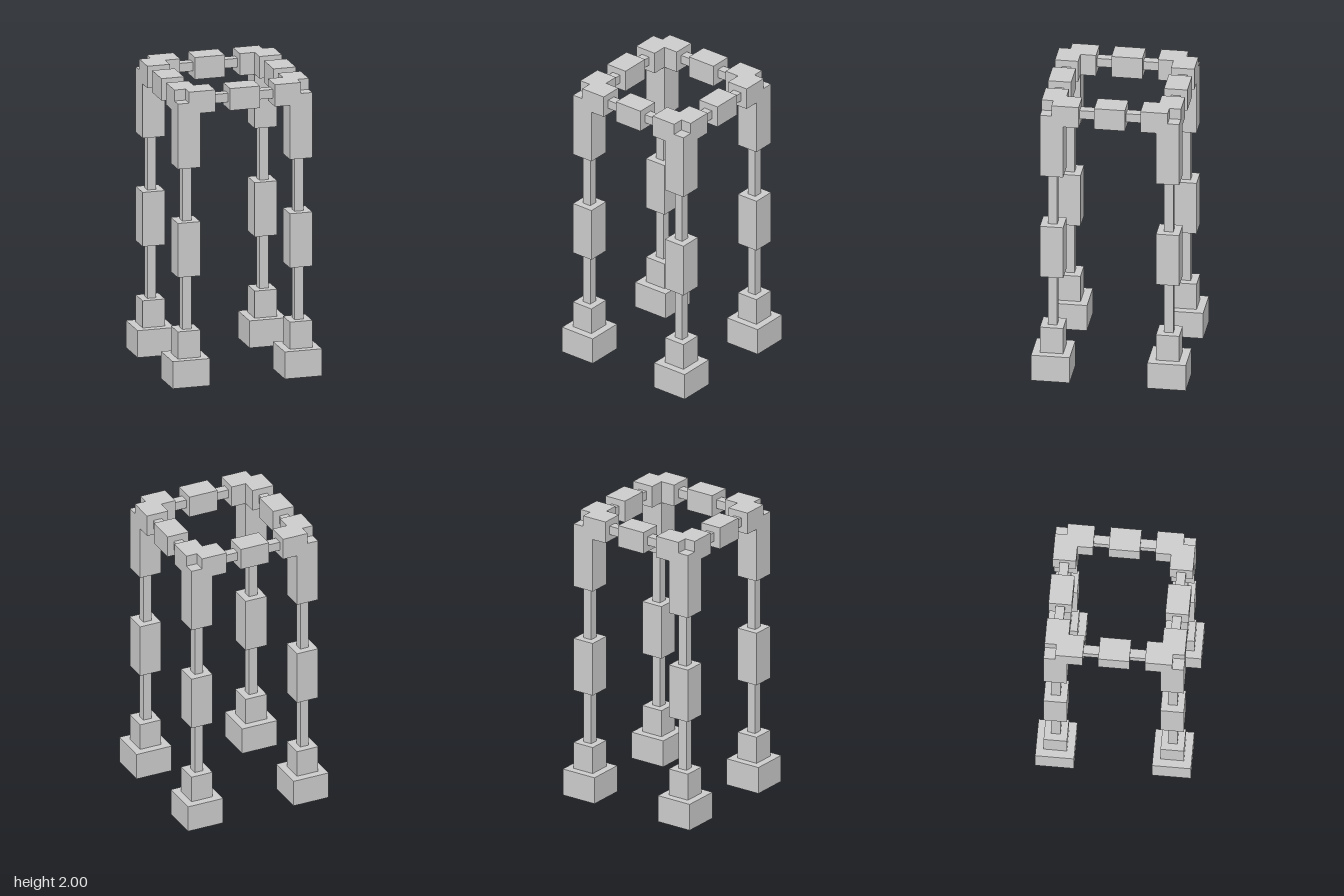
import * as THREE from 'three';

const material = new THREE.MeshStandardMaterial({ color: 0xcccccc, flatShading: true });

// Plan dimensions: leg axis, block width, rod width, foot width
const AXIS = 0.385, BLOCK = 0.154, ROD = 0.061, FOOT = 0.256;
const INNER = AXIS - BLOCK / 2, OUTER = AXIS + BLOCK / 2, ARM_END = 0.205;

function add(group, name, geometry) {
  const mesh = new THREE.Mesh(geometry, material);
  mesh.name = name;
  group.add(mesh);
  return mesh;
}

// Square upright piece on the leg axis, from y0 to y1
function upright(group, name, width, y0, y1) {
  add(group, name, new THREE.BoxGeometry(width, y1 - y0, width))
    .position.set(AXIS, (y0 + y1) / 2, -AXIS);
}

// Flat layer cut to a plan outline, from y0 to y1
function layer(group, name, outline, y0, y1) {
  const shape = new THREE.Shape(outline.map(([x, y]) => new THREE.Vector2(x, y)));
  const geometry = new THREE.ExtrudeGeometry(shape, { depth: y1 - y0, bevelEnabled: false });
  geometry.rotateX(-Math.PI / 2);
  add(group, name, geometry).position.y = y0;
}

function createLeg() {
  const leg = new THREE.Group();
  leg.name = 'leg';
  upright(leg, 'foot', FOOT, 0, 0.185);
  upright(leg, 'pedestal', BLOCK, 0.185, 0.37);
  upright(leg, 'lowerRod', ROD, 0.37, 0.74);
  upright(leg, 'middleBlock', BLOCK, 0.74, 1.11);
  upright(leg, 'upperRod', ROD, 1.11, 1.48);
  upright(leg, 'upperColumn', BLOCK, 1.48, 1.85);

  // L-shaped corner; its top layer has the outer corner notched away
  const arms = [[ARM_END, INNER], [INNER, INNER], [INNER, ARM_END], [OUTER, ARM_END]];
  layer(leg, 'cornerBase', [...arms, [OUTER, OUTER], [ARM_END, OUTER]], 1.85, 1.925);
  layer(leg, 'cornerTop',
    [...arms, [OUTER, AXIS], [AXIS, AXIS], [AXIS, OUTER], [ARM_END, OUTER]], 1.925, 2);
  return leg;
}

// Block in the middle of one top side, with a rod to each corner
function createTopRail() {
  const rail = new THREE.Group();
  rail.name = 'topRail';
  const half = ARM_END / 2;
  add(rail, 'railBlock', new THREE.BoxGeometry(ARM_END, 0.15, BLOCK))
    .position.set(0, 1.925, AXIS);
  for (const side of [-1, 1]) {
    add(rail, 'railRod', new THREE.BoxGeometry(half, 0.06, ROD))
      .position.set(side * half * 1.5, 1.925, AXIS);
  }
  return rail;
}

export function createModel() {
  const model = new THREE.Group();
  model.name = 'openFrameTower';
  // Four identical sides, each a quarter turn apart
  for (let i = 0; i < 4; i++) {
    for (const part of [createLeg(), createTopRail()]) {
      part.rotation.y = i * Math.PI / 2;
      model.add(part);
    }
  }
  return model;
}
